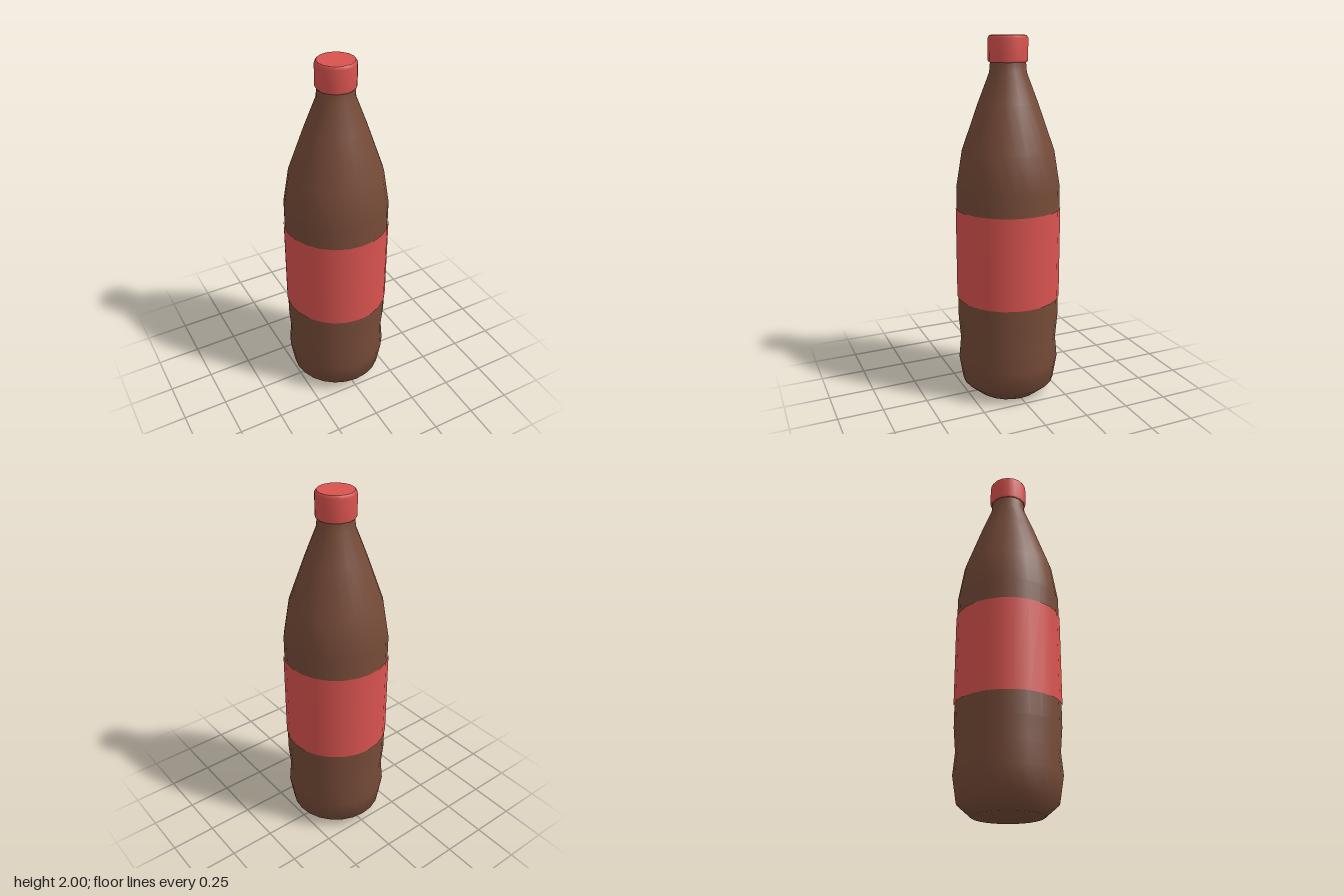
import * as THREE from 'three';

const brown = new THREE.MeshStandardMaterial({ color: 0x764b38 });
brown.name = 'brown';
const red = new THREE.MeshStandardMaterial({ color: 0xd9534f });
red.name = 'red';

// Lathe from [radius, height] pairs, listed from bottom to top
function turned(name, profile, segments, material) {
  const points = profile.map(([r, y]) => new THREE.Vector2(r, y));
  const mesh = new THREE.Mesh(new THREE.LatheGeometry(points, segments), material);
  mesh.name = name;
  return mesh;
}

export function createModel() {
  const bottle = new THREE.Group();
  bottle.name = 'bottle';

  // Body: chamfered foot, slight waist, straight middle, tapering shoulder and neck
  bottle.add(turned('body', [
    [0, 0], [0.187, 0], [0.262, 0.065], [0.284, 0.2], [0.273, 0.32], [0.284, 0.45],
    [0.284, 1.2], [0.251, 1.4], [0.162, 1.65], [0.1, 1.81], [0.094, 1.88],
  ], 24, brown));

  // Label: open sleeve just outside the body
  const label = new THREE.Mesh(new THREE.CylinderGeometry(0.289, 0.289, 0.512, 24, 1, true), red);
  label.name = 'label';
  label.position.y = 0.828;
  bottle.add(label);

  // Cap: flat top and underside (doubled rim points keep their edges crisp)
  bottle.add(turned('cap', [
    [0, 1.862], [0.099, 1.862], [0.1, 1.862], [0.106, 1.87], [0.106, 1.985],
    [0.097, 2], [0.096, 2], [0, 2],
  ], 16, red));

  return bottle;
}
